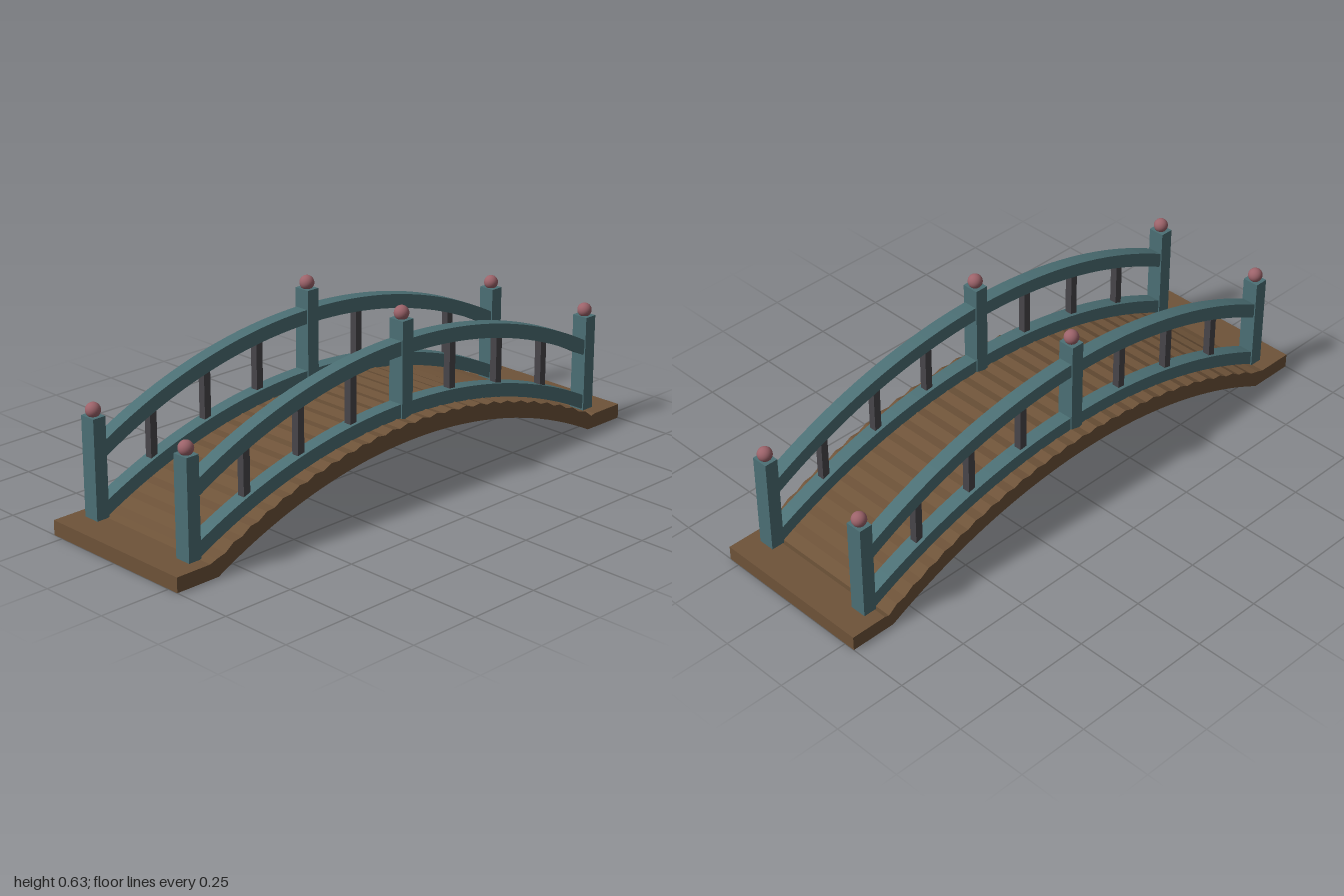
import * as THREE from 'three';

const mat = (color) => new THREE.MeshStandardMaterial({ color });
const RAIL_Z = 0.214;
const POST_X = 0.89;

// Height of a circular arc with the given peak and radius
const arcY = (x, peak, r) => peak - r + Math.sqrt(r * r - x * x);

// Extrude a side profile across z, centred on z = 0
function extrudeProfile(points, width) {
  const shape = new THREE.Shape(points.map(([x, y]) => new THREE.Vector2(x, y)));
  const geo = new THREE.ExtrudeGeometry(shape, { depth: width, bevelEnabled: false });
  return geo.translate(0, 0, -width / 2);
}

// Curved beam of constant thickness following an arc
function archedBeam(peak, r, thickness, halfSpan, width) {
  const upper = [], lower = [];
  const a = Math.asin(halfSpan / r), n = 40;
  for (let i = 0; i <= n; i++) {
    const t = -a + (2 * a * i) / n;
    const s = Math.sin(t), c = Math.cos(t);
    upper.push([r * s, peak - r + r * c]);
    lower.push([(r - thickness) * s, peak - r + (r - thickness) * c]);
  }
  return extrudeProfile([...lower, ...upper.reverse()], width);
}

// Deck: flat landings, smooth arched underside, ridged planks on top
function deckGeometry() {
  const pts = [[-1, 0]];
  const half = 0.84, n = 40;
  for (let i = 0; i <= n; i++) {
    const x = -half + (2 * half * i) / n;
    pts.push([x, Math.max(0, arcY(x, 0.206, 1.815))]);
  }
  pts.push([1, 0], [1, 0.05], [0.872, 0.05]);
  const pitch = 0.0667;
  for (let i = 25; i >= 0; i--) {
    const ridge = 0.0222 + (i - 13) * pitch;
    pts.push([ridge + pitch / 2, arcY(ridge + pitch / 2, 0.2585, 1.825)]);
    pts.push([ridge, arcY(ridge, 0.267, 1.825)]);
  }
  pts.push([-0.872, 0.05], [-1, 0.05]);
  return extrudeProfile(pts, 0.578);
}

export function createModel() {
  const group = new THREE.Group();
  const wood = mat(0x6e5339), teal = mat(0x4c7075), knob = mat(0x9c636a), dark = mat(0x48464a);

  const add = (parent, name, geo, material, x = 0, y = 0, z = 0) => {
    const mesh = new THREE.Mesh(geo, material);
    mesh.name = name;
    mesh.position.set(x, y, z);
    parent.add(mesh);
  };

  add(group, 'deck', deckGeometry(), wood);

  const topRail = archedBeam(0.52, 1.847, 0.048, 0.885, 0.049);
  const lowerRail = archedBeam(0.31, 1.94, 0.046, 0.885, 0.049);
  const ball = new THREE.SphereGeometry(0.0245, 24, 16);

  for (const side of [1, -1]) {
    const railing = new THREE.Group();
    railing.name = side > 0 ? 'frontRailing' : 'backRailing';
    railing.position.z = side * RAIL_Z;
    group.add(railing);

    add(railing, 'topRail', topRail, teal);
    add(railing, 'lowerRail', lowerRail, teal);

    // Posts with ball finials: [x, bottom, top]
    for (const [x, y0, y1] of [[-POST_X, 0.048, 0.384], [0, 0.24, 0.585], [POST_X, 0.048, 0.384]]) {
      add(railing, 'post', new THREE.BoxGeometry(0.047, y1 - y0, 0.058), teal, x, (y0 + y1) / 2);
      add(railing, 'finial', ball, knob, x, y1 + 0.018);
    }

    // Balusters between the two rails
    for (const i of [-3, -2, -1, 1, 2, 3]) {
      const x = (i * POST_X) / 4;
      const y0 = arcY(x, 0.29, 1.94), y1 = arcY(x, 0.495, 1.847);
      add(railing, 'baluster', new THREE.BoxGeometry(0.026, y1 - y0, 0.026), dark, x, (y0 + y1) / 2);
    }
  }
  return group;
}
